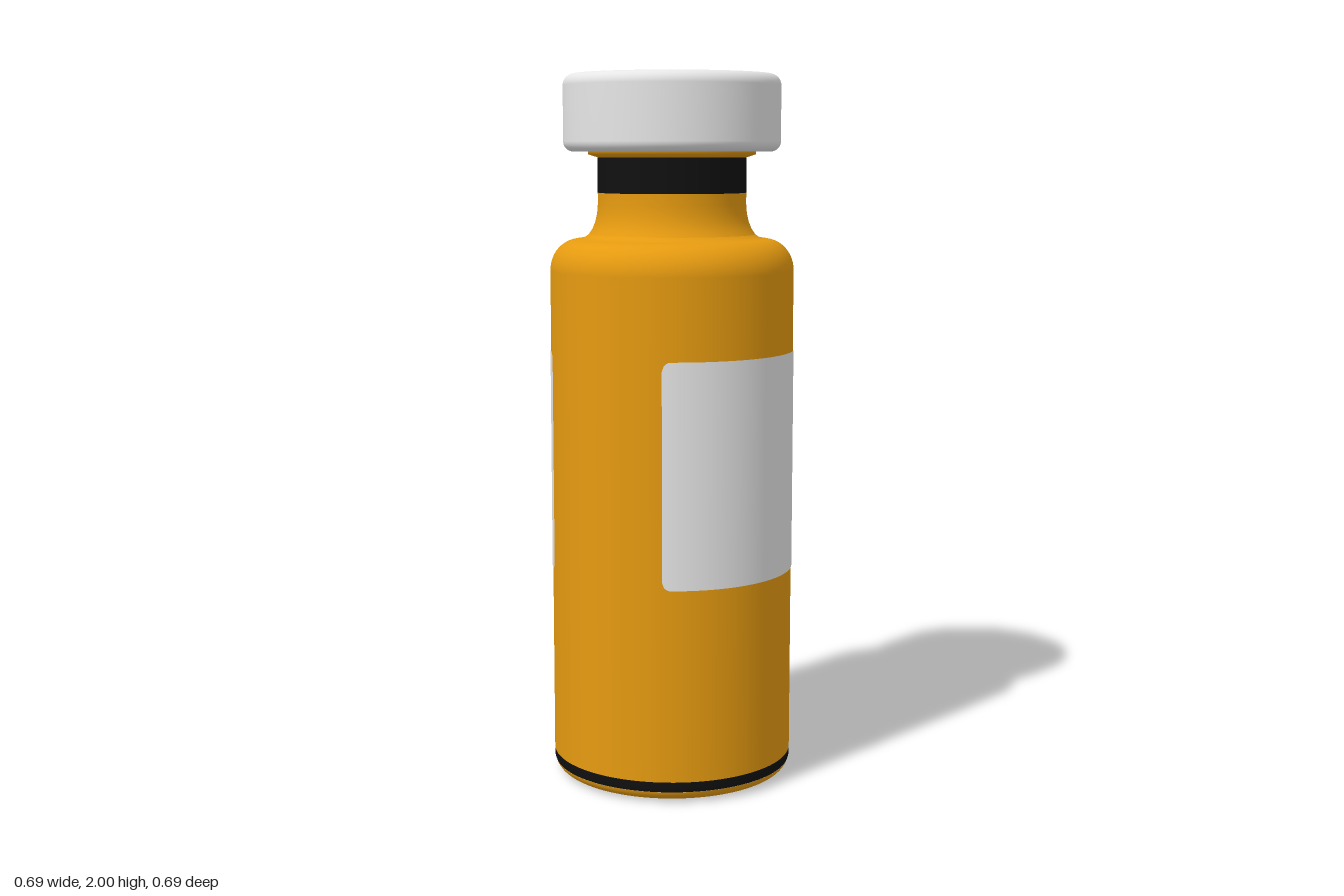
import * as THREE from 'three';

const SIDES = 96;
const R = 0.344; // body radius

const material = (name, color) => {
  const m = new THREE.MeshStandardMaterial({ color });
  m.name = name;
  return m;
};

// Profile points run from the bottom up, so the faces point outwards
function lathe(name, points, mat) {
  const profile = points.map(([r, y]) => new THREE.Vector2(r, y));
  const mesh = new THREE.Mesh(new THREE.LatheGeometry(profile, SIDES), mat);
  mesh.name = name;
  return mesh;
}

// Quarter-round corner between angles a0 and a1
function arc(cx, cy, rx, ry, a0, a1, n = 8) {
  return Array.from({ length: n + 1 }, (_, i) => {
    const a = a0 + ((a1 - a0) * i) / n;
    return [cx + rx * Math.cos(a), cy + ry * Math.sin(a)];
  });
}

// Curved label: a plane wrapped round the body, with rounded corners
function label(name, mat, turn) {
  const half = 0.95, y0 = 0.605, y1 = 1.23, corner = 0.025, r = R + 0.002;
  const geo = new THREE.PlaneGeometry(2, 1, 128, 8);
  const pos = geo.attributes.position;
  for (let i = 0; i < pos.count; i++) {
    const u = pos.getX(i), v = pos.getY(i) + 0.5;
    const a = u * half;
    const over = Math.max(0, corner - (1 - Math.abs(u)) * half * r);
    const inset = corner - Math.sqrt(Math.max(0, corner * corner - over * over));
    const y = THREE.MathUtils.lerp(y0 + inset, y1 - inset, v);
    pos.setXYZ(i, r * Math.sin(a), y, r * Math.cos(a));
    geo.attributes.normal.setXYZ(i, Math.sin(a), 0, Math.cos(a));
  }
  const mesh = new THREE.Mesh(geo, mat);
  mesh.name = name;
  mesh.rotation.y = turn;
  return mesh;
}

export function createModel() {
  const amber = material('amber glass', 0xe59a10);
  const white = material('white', 0xe6e6e6);
  const black = material('black', 0x101010);
  const H = Math.PI / 2;
  const group = new THREE.Group();
  group.name = 'vial';

  // Underside: amber disc inside a dark ring
  group.add(lathe('baseDisc', [[0, 0.004], [0.237, 0.004]], amber));
  group.add(lathe('baseRing', [[0.237, 0.004], [0.25, 0], [0.292, 0.002]], black));

  // Rounded foot with a dark line above it
  group.add(lathe('foot', [[0.292, 0.002], ...arc(0.304, 0.042, 0.038, 0.038, -H + 0.1, -0.25)], amber));
  group.add(lathe('footLine', [[0.341, 0.033], [0.344, 0.043], [R, 0.062]], black));

  // Body wall, rounded shoulder and the flare into the neck
  group.add(lathe('body', [
    [R, 0.062], [R, 0.4], [R, 1.0],
    ...arc(0.264, 1.455, 0.08, 0.088, 0, H, 12),
    [0.245, 1.548], [0.235, 1.556],
  ], amber));
  group.add(lathe('neck', [
    [0.235, 1.556], [0.224, 1.572], [0.216, 1.592], [0.211, 1.615], [0.209, 1.64], [0.209, 1.672],
  ], amber));
  group.add(lathe('neckBand', [[0.209, 1.672], [0.209, 1.77]], black));
  group.add(lathe('neckRim', [[0.209, 1.77], [0.235, 1.778], [0.235, 1.79]], amber));

  // Cap with softened edges
  group.add(lathe('cap', [
    [0.2, 1.786],
    ...arc(0.277, 1.814, 0.028, 0.028, -H, 0),
    ...arc(0.273, 1.968, 0.032, 0.032, 0, H),
    [0.2, 2], [0, 2],
  ], white));

  group.add(label('frontLabel', white, 0), label('backLabel', white, Math.PI));
  return group;
}
